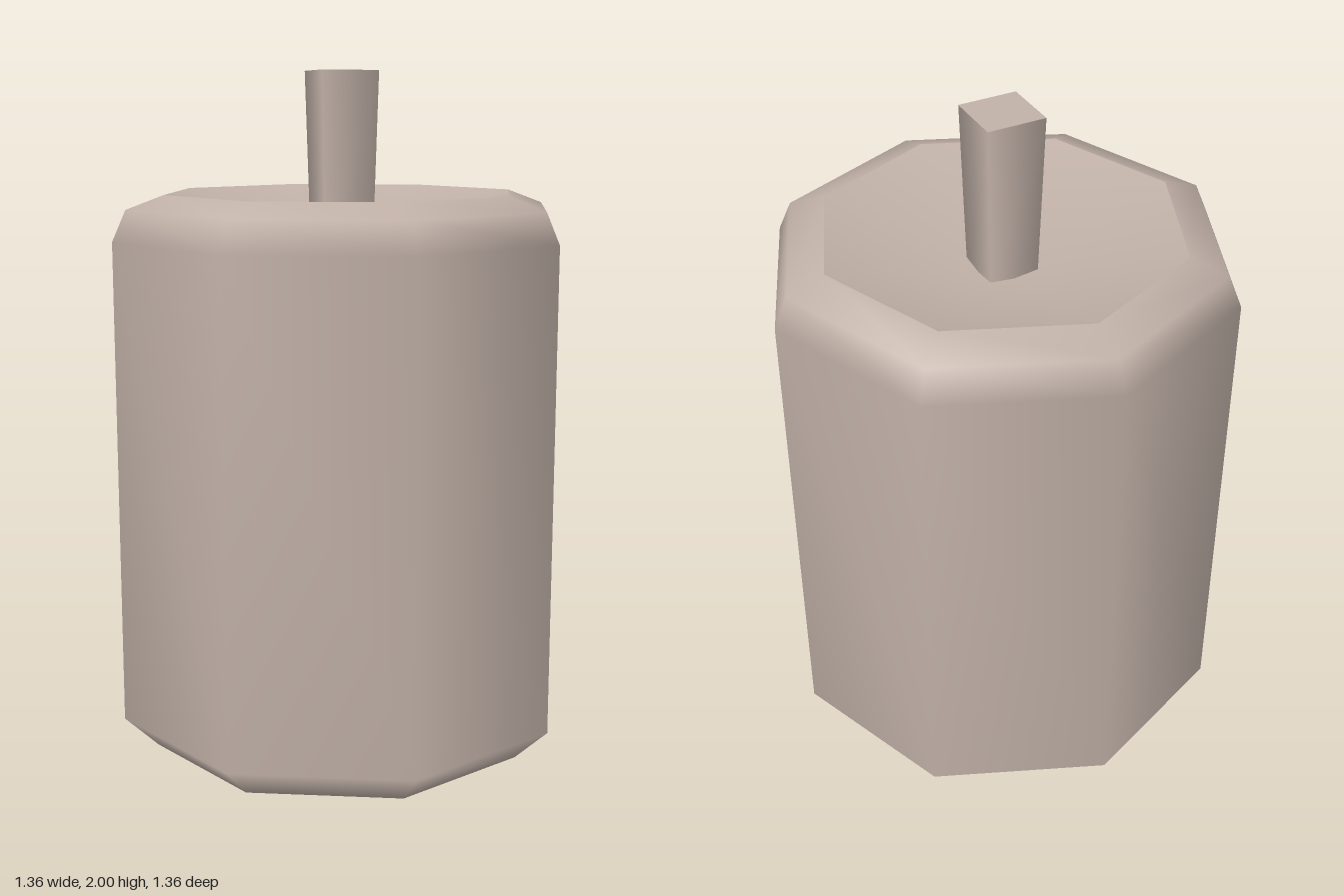
import * as THREE from 'three';
import { mergeVertices } from 'three/addons/utils/BufferGeometryUtils.js';

const SIDES = 8;

// Eight-sided lathe whose normals are smoothed across seams and poles
function smoothLathe(profile) {
  const geometry = new THREE.LatheGeometry(profile.map(([r, y]) => new THREE.Vector2(r, y)), SIDES);
  geometry.deleteAttribute('normal');
  geometry.deleteAttribute('uv');
  const merged = mergeVertices(geometry, 1e-4);
  merged.computeVertexNormals();
  return merged;
}

export function createModel() {
  const model = new THREE.Group();
  const taupe = new THREE.MeshStandardMaterial({ color: 0xc0b0a7 });
  taupe.name = 'taupe';

  const add = (name, geometry) => {
    const mesh = new THREE.Mesh(geometry, taupe);
    mesh.name = name;
    model.add(mesh);
    return mesh;
  };

  // Octagonal body with bevelled base and shoulder
  add('body', smoothLathe([
    [0, 0], [0.58, 0], [0.68, 0.095], [0.68, 1.52], [0.64, 1.61], [0.53, 1.65],
  ]));

  // Shallow hollow in the top, with a sharp rim
  add('topHollow', smoothLathe([[0.53, 1.65], [0, 1.5]]));

  // Square wick, slightly wider at its tip
  const wickGeometry = new THREE.CylinderGeometry(0.086 * Math.SQRT2, 0.073 * Math.SQRT2, 0.52, 4);
  wickGeometry.rotateY(Math.PI / 4);
  add('wick', wickGeometry).position.y = 1.74;

  return model;
}
